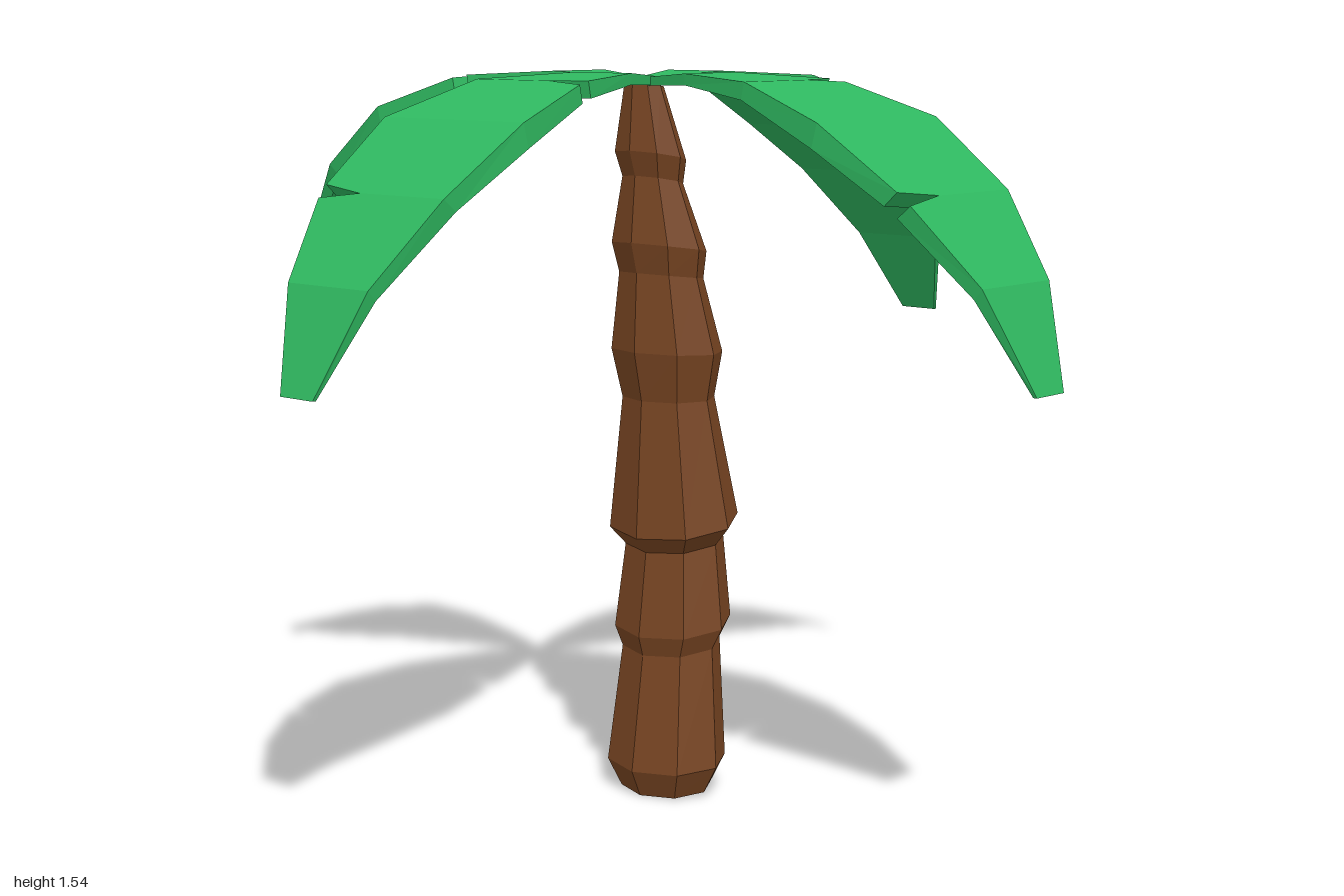
import * as THREE from 'three';

const bark = new THREE.MeshStandardMaterial({ name: 'barkBrown', color: 0x784522, flatShading: true });
const green = new THREE.MeshStandardMaterial({ name: 'leafGreen', color: 0x2fb860, flatShading: true });

// Collects flat quads into one geometry
function quadBuilder() {
  const pos = [];
  return {
    quad(a, b, c, d) {
      for (const p of [a, b, c, a, c, d]) pos.push(...p);
    },
    build() {
      const g = new THREE.BufferGeometry();
      g.setAttribute('position', new THREE.Float32BufferAttribute(pos, 3));
      g.computeVertexNormals();
      return g;
    },
  };
}

// Trunk: tilted eight-sided rings, each [height, radius, centre z, tilt]
function trunkGeometry() {
  const rings = [
    [0.01, 0.108, -0.06, 0.11], [0.07, 0.141, -0.06, 0.1],
    [0.325, 0.116, -0.075, 0.18], [0.37, 0.138, -0.08, 0.18],
    [0.55, 0.116, -0.085, 0.2], [0.59, 0.152, -0.083, 0.2],
    [0.86, 0.108, -0.065, 0.02], [0.96, 0.13, -0.06, -0.03],
    [1.12, 0.098, -0.042, -0.12], [1.18, 0.11, -0.035, -0.15],
    [1.32, 0.07, -0.015, -0.2], [1.37, 0.082, -0.008, -0.2],
    [1.515, 0.045, 0.012, -0.1],
  ];
  const sides = 8, depth = 0.79;
  const point = ([y, r, cz, tilt], k) => {
    const a = (k / sides) * Math.PI * 2;
    const dz = Math.cos(a) * r * depth;
    return [Math.sin(a) * r, y - tilt * dz, cz + dz];
  };
  const q = quadBuilder();
  for (let i = 0; i < rings.length - 1; i++) {
    for (let k = 0; k < sides; k++) {
      q.quad(point(rings[i], k), point(rings[i], k + 1), point(rings[i + 1], k + 1), point(rings[i + 1], k));
    }
  }
  // End caps
  const low = rings[0], high = rings[rings.length - 1];
  for (let k = 1; k < sides - 1; k += 2) {
    q.quad(point(low, 0), point(low, k + 2), point(low, k + 1), point(low, k));
    q.quad(point(high, 0), point(high, k), point(high, k + 1), point(high, k + 2));
  }
  return q.build();
}

// Leaf: arched slab along +x with two V-shaped slits in its edges
function leafGeometry() {
  // [top x, top y, bottom x, bottom y, half width]
  const stations = [
    [0.035, 1.533, 0.035, 1.515, 0.022],
    [0.18, 1.543, 0.18, 1.52, 0.078],
    [0.39, 1.532, 0.383, 1.497, 0.147],
    [0.6, 1.462, 0.588, 1.413, 0.19],
    [0.785, 1.33, 0.755, 1.305, 0.168],
    [0.92, 1.17, 0.902, 1.15, 0.11],
    [1.0, 0.972, 0.992, 0.972, 0.045],
  ];
  const columns = [-1, -0.35, 0.35, 1];
  const slits = { 2: -1, 4: 1 }; // station index: side of the slit
  const gap = 0.08;
  const last = stations.length - 2;
  const q = quadBuilder();
  const corner = (i, f, s) => {
    const [tx, ty, bx, by, w] = stations[i].map((v, n) => THREE.MathUtils.lerp(v, stations[i + 1][n], f));
    return { top: [tx, ty, s * w], bottom: [bx, by, s * w] };
  };
  const wall = (a, b) => q.quad(a.bottom, b.bottom, b.top, a.top);

  for (let i = 0; i <= last; i++) {
    for (let c = 0; c < 3; c++) {
      const [s0, s1] = [columns[c], columns[c + 1]];
      const start = (s) => corner(i, slits[i] === s ? gap : 0, s);
      const end = (s) => corner(i, slits[i + 1] === s ? 1 - gap : 1, s);
      const A = start(s0), B = start(s1), C = end(s1), D = end(s0);
      q.quad(A.top, B.top, C.top, D.top);
      q.quad(D.bottom, C.bottom, B.bottom, A.bottom);
      if (c === 0) wall(D, A);
      if (c === 2) wall(B, C);
      if (i === 0 || slits[i] === s0 || slits[i] === s1) wall(A, B);
      if (i === last || slits[i + 1] === s0 || slits[i + 1] === s1) wall(C, D);
    }
  }
  return q.build();
}

export function createModel() {
  const model = new THREE.Group();
  model.name = 'palmTree';

  const trunk = new THREE.Mesh(trunkGeometry(), bark);
  trunk.name = 'trunk';
  model.add(trunk);

  // Four leaves turned about the crown; front and back ones sit closer in
  const leaf = leafGeometry();
  ['leftLeaf', 'frontLeaf', 'rightLeaf', 'backLeaf'].forEach((name, k) => {
    const mesh = new THREE.Mesh(leaf, green);
    mesh.name = name;
    mesh.rotation.y = (-k * Math.PI) / 2;
    if (k === 1) mesh.position.set(0.003, 0, -0.04);
    else if (k === 3) mesh.position.set(0.01, 0, 0.04);
    else mesh.position.z = 0.015;
    model.add(mesh);
  });
  return model;
}
